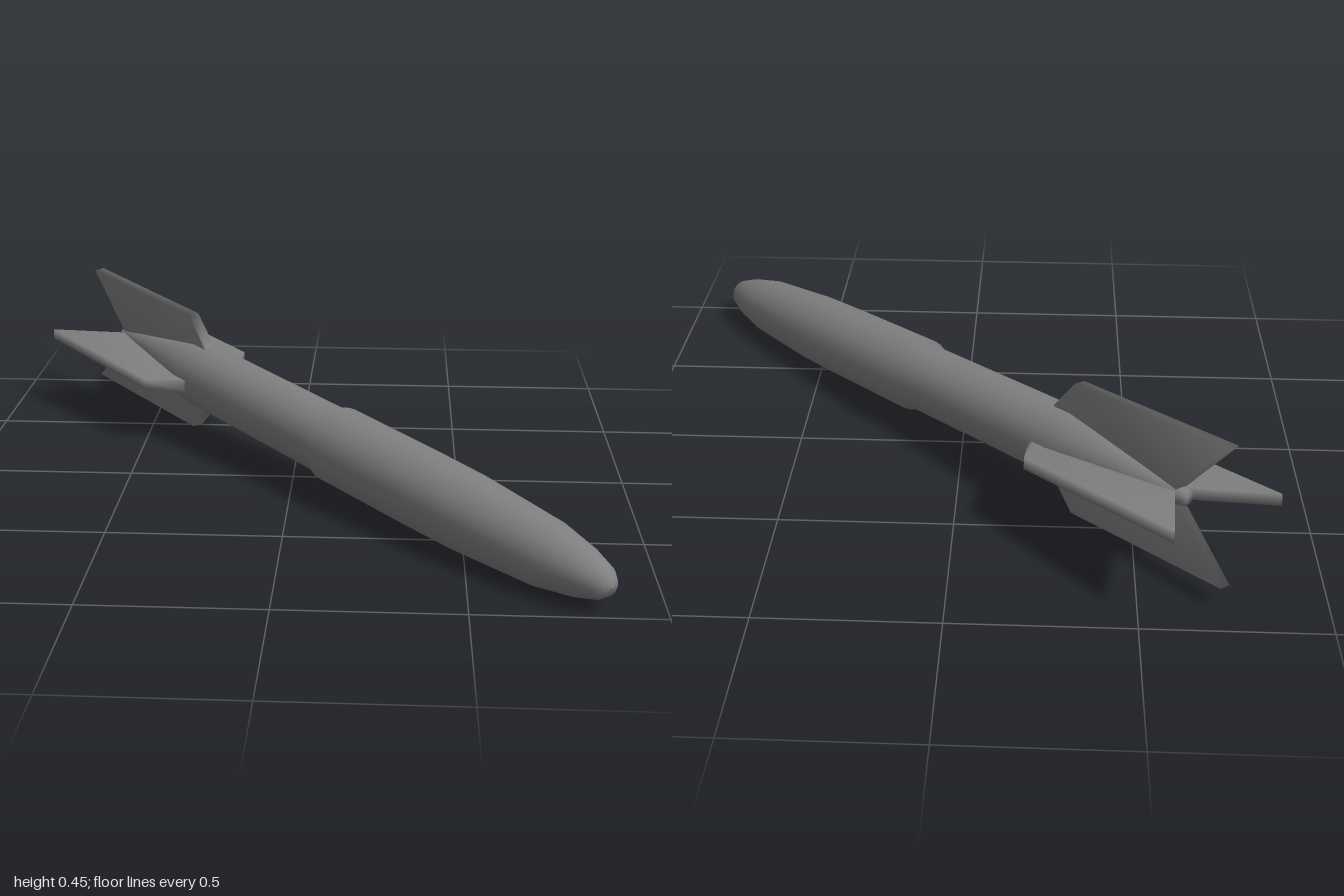
import * as THREE from 'three';
import { mergeVertices } from 'three/addons/utils/BufferGeometryUtils.js';

const material = new THREE.MeshStandardMaterial({ color: 0x808080 });

// Shares corners between faces so the shading runs smoothly over the edges
function smoothed(geometry) {
  geometry.deleteAttribute('normal');
  geometry.deleteAttribute('uv');
  const merged = mergeVertices(geometry);
  merged.computeVertexNormals();
  return merged;
}

export function createModel() {
  const bomb = new THREE.Group();
  bomb.name = 'bomb';

  // Turned body along local y, from tail cone over the small step to the nose
  const profile = [
    [0, -0.98], [0.022, -0.98], [0.103, -0.525], [0.103, 0.175], [0.115, 0.205],
    [0.113, 0.6], [0.11, 0.78], [0.092, 1.075], [0.069, 1.2], [0.046, 1.273],
    [0.026, 1.299], [0, 1.306],
  ].map(([r, s]) => new THREE.Vector2(r, s));
  const body = new THREE.Mesh(new THREE.LatheGeometry(profile, 32), material);
  body.name = 'body';
  bomb.add(body);

  // Four swept tail fins
  const outline = new THREE.Shape([
    [0.01, -0.945], [0.195, -1.135], [0.195, -0.545], [0.11, -0.462], [0.05, -0.43], [0.01, -0.43],
  ].map(([r, s]) => new THREE.Vector2(r, s)));
  const thickness = 0.034;
  const finGeometry = smoothed(
    new THREE.ExtrudeGeometry(outline, { depth: thickness, bevelEnabled: false })
      .translate(0, 0, -thickness / 2),
  );
  for (let i = 0; i < 4; i++) {
    const fin = new THREE.Mesh(finGeometry, material);
    fin.name = 'tailFin' + (i + 1);
    fin.rotation.y = i * Math.PI / 2;
    bomb.add(fin);
  }

  // Lay the body diagonally, nose slightly down, with a small roll
  const axis = new THREE.Vector3(0.648, -0.074, 0.758).normalize();
  const side = new THREE.Vector3(axis.z, 0, -axis.x).normalize();
  const third = new THREE.Vector3().crossVectors(side, axis);
  bomb.quaternion.setFromRotationMatrix(new THREE.Matrix4().makeBasis(side, axis, third));
  bomb.rotateY(0.07);
  bomb.position.set(0.009, 0.172, -0.007);

  const model = new THREE.Group();
  model.add(bomb);
  return model;
}
